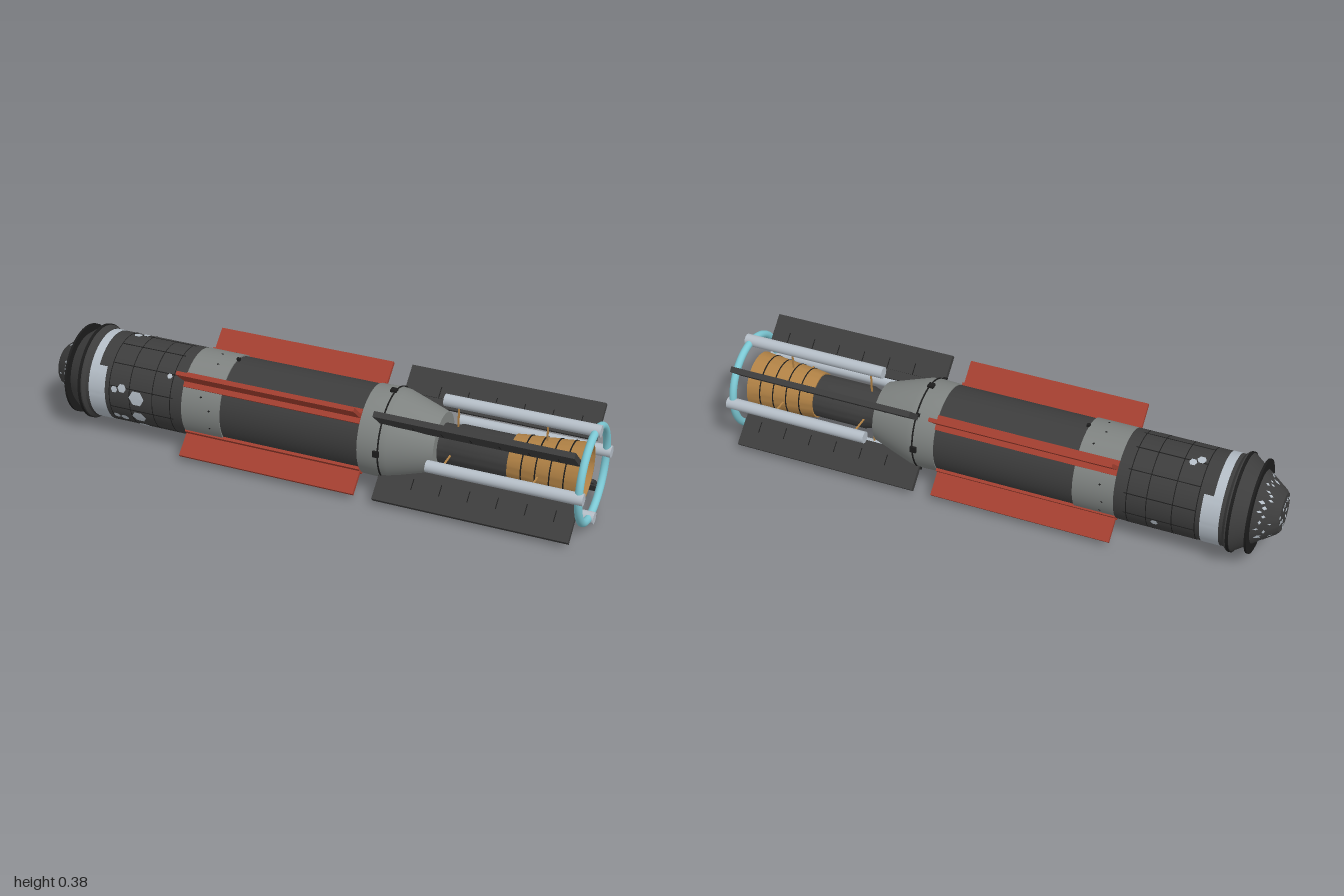
import * as THREE from 'three';
import { toCreasedNormals } from 'three/addons/utils/BufferGeometryUtils.js';

const CY = 0.1885; // height of the long axis
const RAD = Math.PI / 180;

function material(name, color, side = THREE.FrontSide) {
  const m = new THREE.MeshStandardMaterial({ color, side });
  m.name = name;
  return m;
}

export function createModel() {
  const dark = material('charcoal', 0x3d3d3d);
  const black = material('black', 0x1c1c1c);
  const grey = material('grey', 0x7f8381);
  const light = material('pale metal', 0xb4bdc6);
  const red = material('red', 0xa33f30);
  const cyan = material('cyan', 0x7cc8d4);
  const copper = material('copper', 0xb08145);

  const model = new THREE.Group();
  model.name = 'spacecraft';
  const craft = new THREE.Group();
  craft.name = 'craft';
  craft.position.y = CY;
  model.add(craft);

  const add = (name, geo, mat, parent = craft) => {
    const mesh = new THREE.Mesh(geo, mat);
    mesh.name = name;
    parent.add(mesh);
    return mesh;
  };
  // Turned part along x from [x, radius] pairs
  const turn = (name, mat, pts, start = 0, len = Math.PI * 2, seg = 64) => {
    const g = new THREE.LatheGeometry(pts.map(([x, r]) => new THREE.Vector2(r, x)), seg, start, len);
    g.rotateZ(-Math.PI / 2);
    return add(name, toCreasedNormals(g, 0.5), mat);
  };
  const box = (name, mat, size, pos, parent) => {
    const m = add(name, new THREE.BoxGeometry(...size), mat, parent);
    m.position.set(...pos);
    return m;
  };
  // Group whose y axis points outward at an angle from the top
  const spoke = (name, degrees) => {
    const g = new THREE.Group();
    g.name = name;
    g.rotation.x = degrees * RAD;
    craft.add(g);
    return g;
  };
  // Flat plate bent onto a turned surface; angle is measured from +z towards +y
  const patch = (name, mat, x, degrees, w, h, sides, radiusAt) => {
    const g = new THREE.CircleGeometry(1, sides);
    const p = g.attributes.position;
    for (let i = 0; i < p.count; i++) {
      const px = x + p.getX(i) * w;
      const r = radiusAt(px) + 0.0018;
      const a = degrees * RAD + (p.getY(i) * h) / r;
      p.setXYZ(i, px, r * Math.sin(a), r * Math.cos(a));
    }
    g.computeVertexNormals();
    return add(name, g, mat);
  };

  // Nose, flange and shoulder
  const noseR = x => 0.078 + (x + 0.99) * 0.7;
  turn('nose', dark, [[-1, 0], [-1, 0.068], [-0.99, 0.078], [-0.915, noseR(-0.915)],
    [-0.86, 0.169], [-0.845, 0.17], [-0.835, 0.16]]);
  turn('noseFlange', black, [[-0.919, 0.1], [-0.919, 0.163], [-0.911, 0.163], [-0.911, 0.1]]);
  turn('shoulderRim', black, [[-0.86, 0.15], [-0.86, 0.173], [-0.85, 0.173], [-0.85, 0.15]]);

  // Scattered pale plates on the nose
  let seed = 7;
  const rnd = () => (seed = (seed * 16807) % 2147483647) / 2147483647;
  for (let i = 0; i < 44; i++) {
    patch('nosePlate', light, -0.978 + rnd() * 0.042, i * (360 / 44) + rnd() * 5,
      0.004 + rnd() * 0.008, 0.003 + rnd() * 0.006, 4, noseR);
  }
  for (let i = 0; i < 10; i++) {
    const m = box('noseTipPlate', light, [0.004, 0.016, 0.01], [-0.999, 0, 0], spoke('noseTip', i * 36));
    m.position.y = 0.03 + (i % 3) * 0.014;
  }

  // Main hull and its coloured bands
  const R = 0.159;
  turn('hull', dark, [[-0.84, R], [-0.455, R], [-0.455, 0.155], [0.21, 0.155]]);
  turn('narrowBand', light, [[-0.822, R + 0.001], [-0.79, R + 0.001]]);
  turn('wideBand', light, [[-0.822, R + 0.0015], [-0.757, R + 0.0015]], -38 * RAD, 256 * RAD);
  turn('greyBand', grey, [[-0.455, 0.155], [-0.455, 0.1595], [-0.308, 0.1595], [-0.308, 0.155]]);
  for (const x of [-0.74, -0.66, -0.57, -0.5]) {
    turn('hullSeam', black, [[x - 0.0015, R + 0.0008], [x + 0.0015, R + 0.0008]]);
  }
  for (let i = 0; i < 12; i++) {
    box('hullSeam', black, [0.25, 0.002, 0.003], [-0.615, R, 0], spoke('seam', i * 30 + 15));
  }

  // Pale hull plates: x, angle, radius
  const plates = [[-0.632, 4, 0.03], [-0.632, -26, 0.027], [-0.632, -52, 0.026], [-0.72, 11, 0.013],
    [-0.69, 14, 0.017], [-0.725, -32, 0.014], [-0.695, -34, 0.016], [-0.515, 42, 0.01],
    [-0.715, 101, 0.016], [-0.69, 107, 0.014], [-0.6, 200, 0.013], [-0.68, 250, 0.014], [-0.58, 285, 0.012]];
  for (const [x, a, r] of plates) patch('hullPlate', light, x, a, r, r, 6, () => R);

  // Small fittings on the hull
  box('bellyBox', black, [0.055, 0.012, 0.03], [-0.385, -0.161, 0]);
  box('topFitting', black, [0.012, 0.01, 0.012], [-0.305, 0.16, 0]);
  for (let i = 0; i < 16; i++) {
    const x = -0.44 + rnd() * 0.12;
    patch('bandMark', black, x, i * 22.5 + rnd() * 9, 0.005, 0.004, 4, () => R + 0.0005);
  }

  // Rear collar and tapering cone
  turn('rearCone', grey, [[0.205, 0.15], [0.205, 0.158], [0.285, 0.16], [0.31, 0.157],
    [0.46, 0.108], [0.46, 0.07]]);
  turn('collarSeam', black, [[0.28, 0.15], [0.28, 0.1625], [0.285, 0.1625], [0.285, 0.15]]);
  for (let i = 0; i < 8; i++) {
    const s = i % 2 ? 0.013 : 0.022;
    box('collarThruster', black, [s, 0.02, s], [0.277, 0.158, 0], spoke('thruster', i * 45));
  }

  // Engine: dark casing, stepped copper bell, dark floor
  turn('engineCasing', dark, [[0.45, 0.07], [0.5, 0.07], [0.52, 0.077], [0.715, 0.077]]);
  const steps = 5, x0 = 0.71, dx = 0.05;
  const outer = [], inner = [];
  for (let i = 0; i < steps; i++) {
    const r = 0.084 + i * 0.0042, x = x0 + i * dx;
    outer.push([x, r - 0.002], [x + dx, r + 0.004]);
    inner.unshift([x + dx, r - 0.001], [x, r - 0.007]);
  }
  turn('engineBell', copper, [[x0, 0.07], ...outer, ...inner]);
  for (let i = 1; i < steps; i++) {
    const x = x0 + i * dx, r = 0.084 + i * 0.0042;
    turn('bellSeam', black, [[x - 0.002, r - 0.0085], [x - 0.002, r + 0.001],
      [x + 0.002, r + 0.001], [x + 0.002, r - 0.0085], [x - 0.002, r - 0.0085]]);
  }
  turn('engineFloor', dark, [[0.72, 0.075], [0.72, 0]]);

  // Red fins on root plates, and dark rear panels
  for (const a of [48, 132, -132, -48]) {
    const fin = spoke('redFin', a);
    box('finBlade', red, [0.66, 0.095, 0.014], [-0.125, 0.2, 0], fin);
    box('finRoot', red, [0.66, 0.014, 0.052], [-0.125, 0.156, 0], fin);

    const panel = spoke('rearPanel', a);
    box('panelBlade', dark, [0.69, 0.1, 0.02], [0.62, 0.199, 0], panel);
    box('panelRoot', dark, [0.69, 0.034, 0.013], [0.62, 0.134, 0], panel);
    for (let i = 0; i < 6; i++) {
      box('panelRib', black, [0.003, 0.04, 0.0215], [0.4 + i * 0.1, 0.17, 0], panel);
    }
  }

  // Four long rods with copper struts
  for (const a of [0, 90, 180, 270]) {
    const g = spoke('rodAssembly', a);
    const rod = add('rod', new THREE.CylinderGeometry(0.021, 0.021, 0.54, 28), light, g);
    rod.rotation.z = -Math.PI / 2;
    rod.position.set(0.73, 0.1665, 0);
    box('frontStrut', copper, [0.006, 0.09, 0.004], [0.51, 0.112, 0], g);
    box('rearStrut', copper, [0.006, 0.06, 0.004], [0.82, 0.122, 0], g);
  }

  // Rear ring
  const ring = add('rearRing', new THREE.TorusGeometry(0.164, 0.0135, 16, 72), cyan);
  ring.rotation.y = Math.PI / 2;
  ring.position.x = 0.982;

  return model;
}
